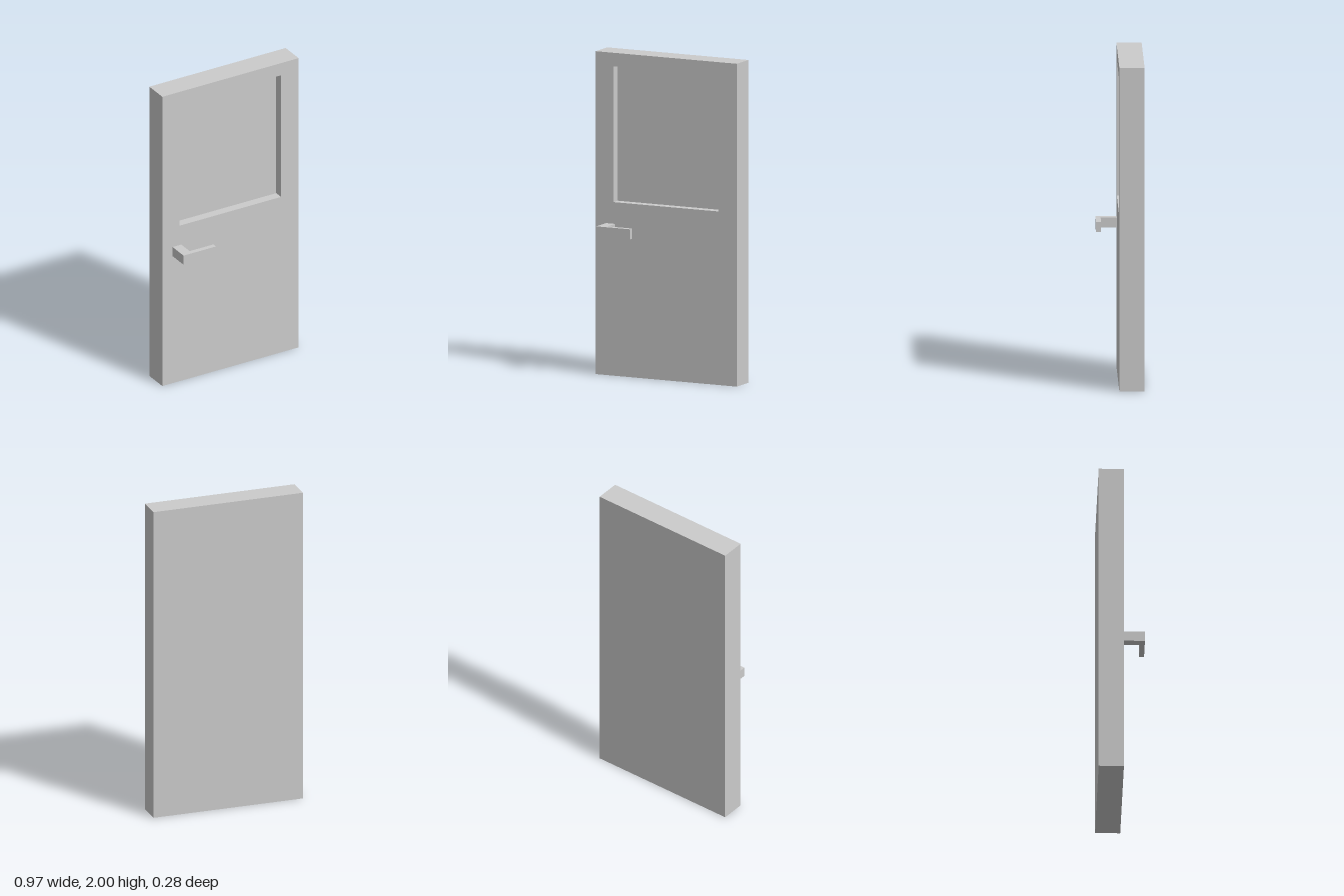
import * as THREE from 'three';

const material = new THREE.MeshStandardMaterial({ color: 0xcccccc, flatShading: true });

// Closed polygon from corner pairs
const polygon = (Type, points) => new Type(points.map(([x, y]) => new THREE.Vector2(x, y)));
const rectangle = (Type, x0, x1, y0, y1) =>
  polygon(Type, [[x0, y0], [x1, y0], [x1, y1], [x0, y1]]);

function extrude(name, shape, depth) {
  const geometry = new THREE.ExtrudeGeometry(shape, { depth, bevelEnabled: false });
  const mesh = new THREE.Mesh(geometry, material);
  mesh.name = name;
  return mesh;
}

export function createModel() {
  const group = new THREE.Group();
  group.name = 'door';

  const halfWidth = 0.486, height = 2;
  const back = -0.142, front = 0.012, recess = 0.057;

  // Solid rear slab, whose front closes the window recess
  const slab = extrude('doorSlab', rectangle(THREE.Shape, -halfWidth, halfWidth, 0, height), front - back - recess);
  slab.position.z = back;

  // Front layer with the window opening
  const frameShape = rectangle(THREE.Shape, -halfWidth, halfWidth, 0, height);
  frameShape.holes.push(rectangle(THREE.Path, -0.364, 0.36, 1.075, 1.916));
  const frame = extrude('windowFrame', frameShape, recess);
  frame.position.z = front - recess;

  // L-shaped lever handle, drawn in plan and extruded vertically
  const plan = [
    [-0.413, front], [-0.413, 0.142], [-0.182, 0.142],
    [-0.182, 0.111], [-0.351, 0.111], [-0.351, front],
  ].map(([x, z]) => [x, -z]);
  const handle = extrude('handle', polygon(THREE.Shape, plan), 0.063);
  handle.rotation.x = -Math.PI / 2;
  handle.position.y = 0.878;

  group.add(slab, frame, handle);
  return group;
}
